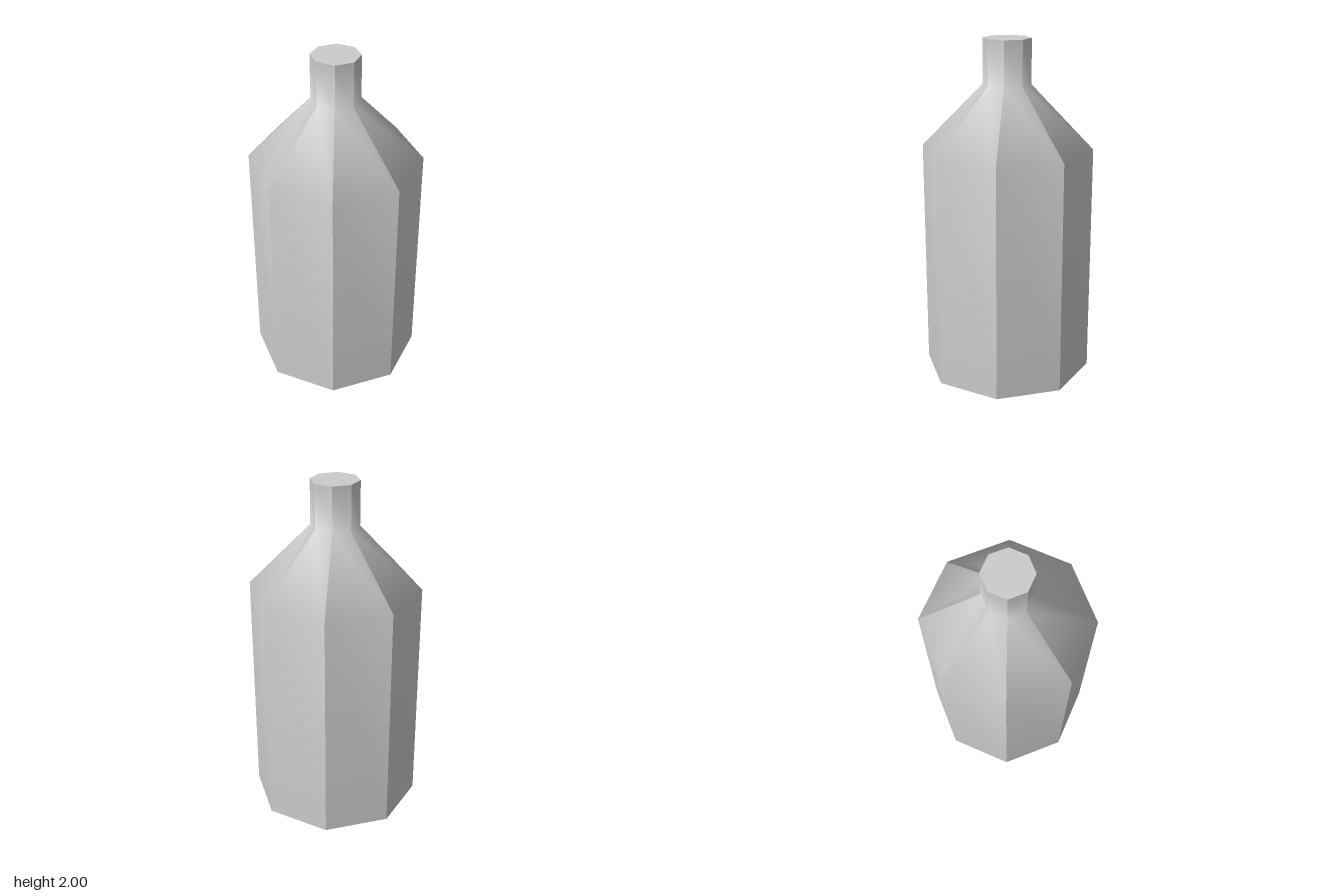
import * as THREE from 'three';
import { mergeGeometries } from 'three/addons/utils/BufferGeometryUtils.js';

const SIDES = 8;
const BODY_R = 0.5, NECK_R = 0.14;
const SHOULDER_Y = 1.37, NECK_Y = 1.74, TOP_Y = 2;

// One facet strip from base to mouth: smooth along its height, sharp at its sides
function facet(i) {
  const profile = [[BODY_R, 0], [BODY_R, SHOULDER_Y], [NECK_R, NECK_Y], [NECK_R, TOP_Y]]
    .map(([r, y]) => new THREE.Vector2(r, y));
  const step = (Math.PI * 2) / SIDES;
  const g = new THREE.LatheGeometry(profile, 1, i * step, step);
  g.computeVertexNormals();
  return g;
}

export function createModel() {
  const group = new THREE.Group();
  group.name = 'bottle';
  const material = new THREE.MeshStandardMaterial({ color: 0xcccccc });

  const add = (name, geometry) => {
    const mesh = new THREE.Mesh(geometry, material);
    mesh.name = name;
    group.add(mesh);
    return mesh;
  };

  // Body, shoulder and neck wall
  add('bottleWall', mergeGeometries(Array.from({ length: SIDES }, (_, i) => facet(i))));

  // Flat closed ends
  add('base', new THREE.CircleGeometry(BODY_R, SIDES).rotateX(Math.PI / 2));
  add('neckTop', new THREE.CircleGeometry(NECK_R, SIDES).rotateX(-Math.PI / 2)).position.y = TOP_Y;

  return group;
}
